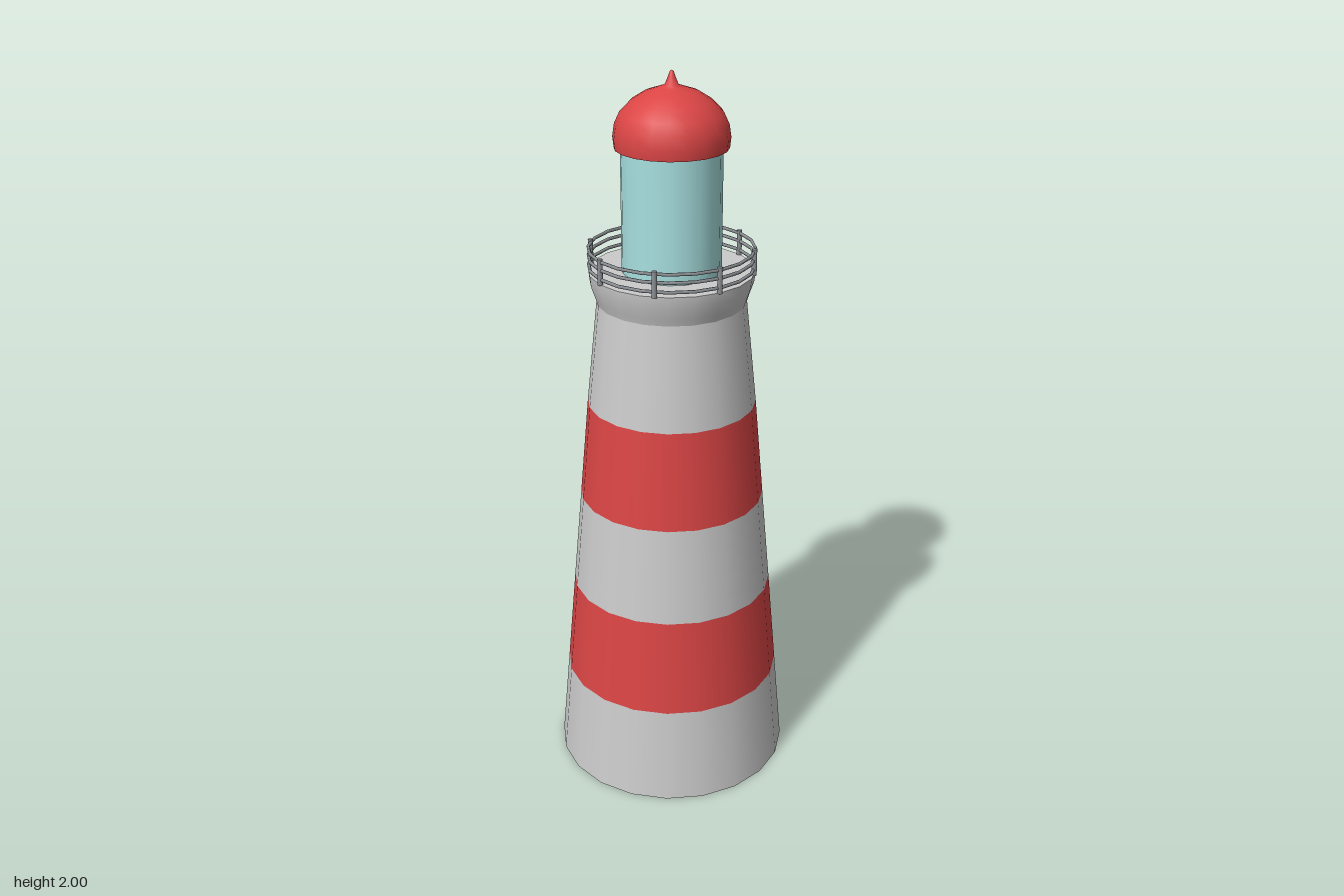
import * as THREE from 'three';

const SIDES = 20;

export function createModel() {
  const model = new THREE.Group();
  const grey = new THREE.MeshStandardMaterial({ color: 0xcccccc });
  const red = new THREE.MeshStandardMaterial({ color: 0xdb4545 });
  const glass = new THREE.MeshStandardMaterial({ color: 0xa8e0e0 });
  const metal = new THREE.MeshStandardMaterial({ color: 0x8c9094 });

  const add = (name, geometry, material, x = 0, y = 0, z = 0, parent = model) => {
    const mesh = new THREE.Mesh(geometry, material);
    mesh.name = name;
    mesh.position.set(x, y, z);
    parent.add(mesh);
    return mesh;
  };
  const lathe = (points) =>
    new THREE.LatheGeometry(points.map(([r, y]) => new THREE.Vector2(r, y)), SIDES);
  const disc = (r) => new THREE.CircleGeometry(r, SIDES);

  // Tapering tower in five alternating bands
  const levels = [[0.33, 0], [0.305, 0.277], [0.28, 0.555], [0.255, 0.83], [0.23, 1.107], [0.2, 1.395]];
  for (let i = 0; i < 5; i++) {
    add(`towerBand${i + 1}`, lathe([levels[i], levels[i + 1]]), i % 2 ? red : grey);
  }
  add('towerBase', disc(0.33).rotateX(Math.PI / 2), grey);

  // Door slab, almost flush with the wall
  add('door', new THREE.BoxGeometry(0.04, 0.15, 0.17), grey, 0.288, 0.075, 0);

  // Flared gallery and its deck
  add('galleryFlare', lathe([[0.2, 1.395], [0.206, 1.415], [0.218, 1.45], [0.221, 1.48]]), grey);
  add('galleryDeck', disc(0.221).rotateX(-Math.PI / 2), grey, 0, 1.48, 0);

  // Railing: eight posts and three hoops
  const railing = new THREE.Group();
  railing.name = 'railing';
  model.add(railing);
  for (let i = 0; i < 8; i++) {
    const a = (i * Math.PI) / 4;
    add(`railPost${i + 1}`, new THREE.CylinderGeometry(0.007, 0.007, 0.07, 10), metal,
      0.219 * Math.sin(a), 1.513, 0.219 * Math.cos(a), railing);
  }
  [1.493, 1.518, 1.54].forEach((y, i) => {
    add(`railHoop${i + 1}`, new THREE.TorusGeometry(0.219, 0.0045, 6, SIDES).rotateX(Math.PI / 2),
      metal, 0, y, 0, railing);
  });

  // Glazed lantern room
  add('lanternRoom', new THREE.CylinderGeometry(0.132, 0.132, 0.33, SIDES, 1, true), glass, 0, 1.645, 0);

  // Domed roof with a pointed finial
  add('roofDome', lathe([
    [0.148, 1.805], [0.151, 1.832], [0.146, 1.865], [0.132, 1.895], [0.105, 1.923],
    [0.07, 1.945], [0.035, 1.957], [0.018, 1.963], [0.01, 1.982], [0.005, 1.996], [0, 2],
  ]), red);
  add('roofUnderside', disc(0.148).rotateX(Math.PI / 2), red, 0, 1.805, 0);

  return model;
}
